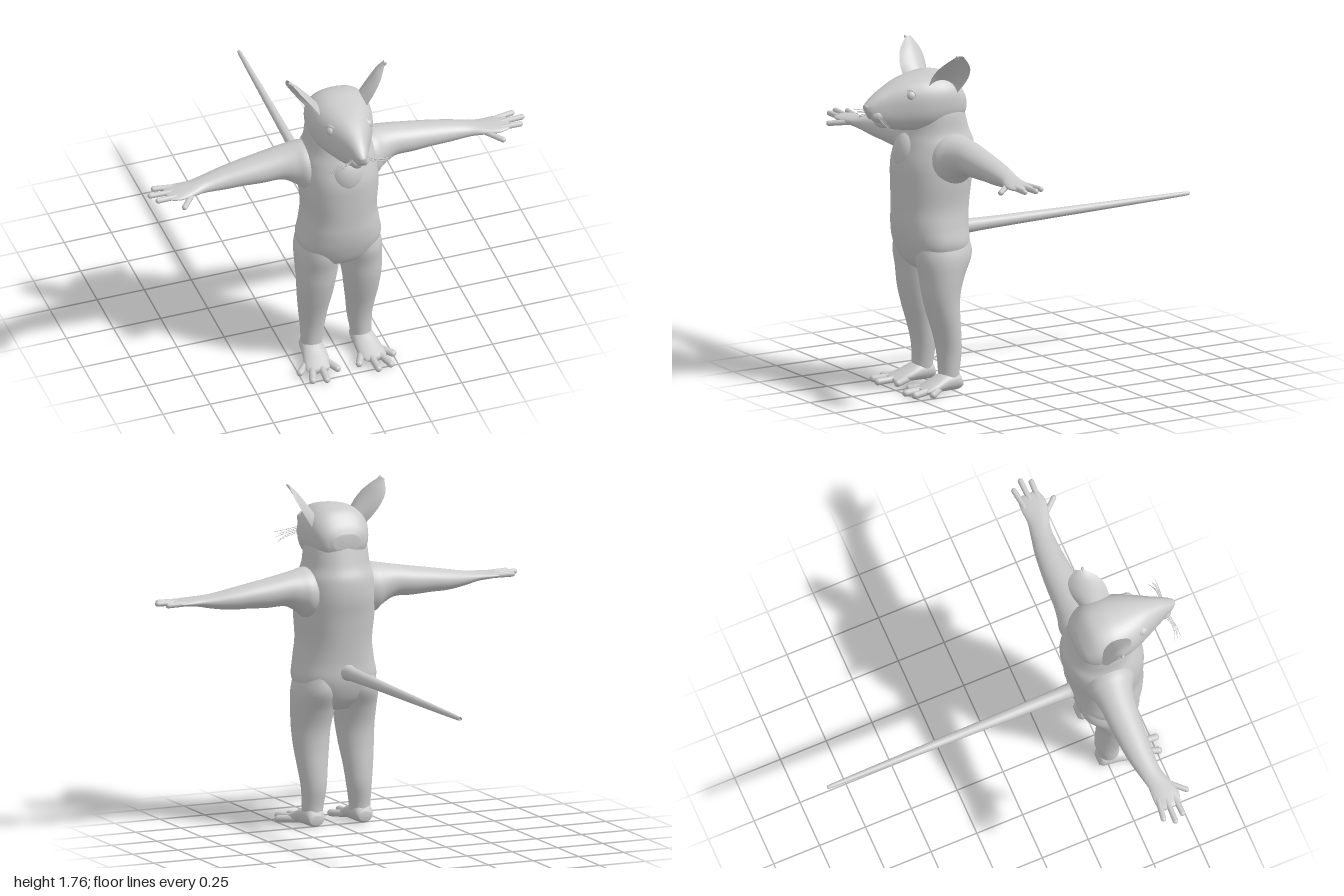
import * as THREE from 'three';
import { mergeVertices } from 'three/addons/utils/BufferGeometryUtils.js';

const mat = new THREE.MeshStandardMaterial({ color: 0xcccccc });
const thinMat = new THREE.MeshStandardMaterial({ color: 0xcccccc, side: THREE.DoubleSide });
const V = (x, y, z) => new THREE.Vector3(x, y, z);

// Smooth surface from a rule point(row, column)
function grid(rows, cols, point) {
  const pos = [], idx = [];
  for (let i = 0; i <= rows; i++)
    for (let j = 0; j <= cols; j++) pos.push(...point(i, j));
  for (let i = 0; i < rows; i++)
    for (let j = 0; j < cols; j++) {
      const a = i * (cols + 1) + j, b = a + cols + 1;
      idx.push(a, a + 1, b + 1, a, b + 1, b);
    }
  let g = new THREE.BufferGeometry();
  g.setAttribute('position', new THREE.Float32BufferAttribute(pos, 3));
  g.setIndex(idx);
  g = mergeVertices(g, 1e-5);
  g.computeVertexNormals();
  return g;
}

// Rounded body along an axis (0 x, 1 y, 2 z); each ring is
// [position, min and max on the next axis, min and max on the one after]
function loft(axis, rings, power = 1, cols = 36) {
  const A = new THREE.CatmullRomCurve3(rings.map(r => V(r[0], r[1], r[2])), false, 'catmullrom');
  const B = new THREE.CatmullRomCurve3(rings.map(r => V(r[0], r[3], r[4])), false, 'catmullrom');
  const steps = (rings.length - 1) * 5;
  const curve = c => Math.sign(c) * Math.abs(c) ** power;
  return grid(steps + 2, cols, (i, j) => {
    const k = Math.min(Math.max(i - 1, 0), steps) / steps;
    const a = A.getPoint(k), b = B.getPoint(k);
    const size = i === 0 || i === steps + 2 ? 0 : 0.5; // closed ends
    const t = (j % cols) / cols * Math.PI * 2;
    const p = [0, 0, 0];
    p[axis] = a.x;
    p[(axis + 1) % 3] = (a.y + a.z) / 2 + (a.z - a.y) * size * curve(Math.cos(t));
    p[(axis + 2) % 3] = (b.y + b.z) / 2 + (b.z - b.y) * size * curve(Math.sin(t));
    return p;
  });
}

// Round-ended digit between two points
function digit(from, to, r) {
  const a = V(...from), b = V(...to), d = b.clone().sub(a);
  const g = new THREE.CapsuleGeometry(r, d.length() - r, 6, 12);
  g.applyQuaternion(new THREE.Quaternion().setFromUnitVectors(V(0, 1, 0), d.normalize()));
  const m = a.add(b).multiplyScalar(0.5).addScaledVector(d, -r / 2);
  return g.translate(m.x, m.y, m.z);
}

function ellipsoid(c, r) {
  return new THREE.SphereGeometry(1, 28, 20).scale(...r).translate(...c);
}

function mirrored(geo) {
  const g = geo.clone().scale(-1, 1, 1), ix = g.index;
  for (let i = 0; i < ix.count; i += 3) {
    const t = ix.getX(i);
    ix.setX(i, ix.getX(i + 1));
    ix.setX(i + 1, t);
  }
  return g;
}

export function createModel() {
  const model = new THREE.Group();
  model.name = 'mouse';
  const add = (name, geo, m = mat) => {
    const mesh = new THREE.Mesh(geo, m);
    mesh.name = name;
    model.add(mesh);
  };
  const pair = (name, geo, m = mat) => {
    add('left' + name, geo, m);
    add('right' + name, mirrored(geo), m);
  };

  // Torso and neck
  add('torso', loft(1, [
    [0.60, 0.45, 0.60, -0.08, 0.08], [0.66, 0.40, 0.68, -0.16, 0.16],
    [0.75, 0.37, 0.72, -0.215, 0.215], [0.85, 0.368, 0.74, -0.203, 0.203],
    [0.95, 0.36, 0.742, -0.19, 0.19], [1.08, 0.345, 0.745, -0.20, 0.20],
    [1.18, 0.33, 0.742, -0.20, 0.20], [1.27, 0.335, 0.715, -0.19, 0.19],
    [1.34, 0.36, 0.69, -0.168, 0.168], [1.45, 0.39, 0.66, -0.155, 0.155],
    [1.54, 0.42, 0.60, -0.11, 0.11]], 0.9, 48));
  add('chestFur', ellipsoid([0, 1.21, 0.66], [0.1, 0.125, 0.088]));

  // Head, jaw and nose
  add('head', loft(2, [
    [0.385, -0.07, 0.07, 1.42, 1.50], [0.41, -0.12, 0.12, 1.38, 1.55],
    [0.47, -0.155, 0.155, 1.35, 1.615], [0.55, -0.165, 0.165, 1.34, 1.635],
    [0.63, -0.155, 0.155, 1.335, 1.628], [0.70, -0.13, 0.13, 1.345, 1.615],
    [0.76, -0.10, 0.10, 1.352, 1.598], [0.82, -0.07, 0.07, 1.37, 1.572],
    [0.87, -0.048, 0.048, 1.40, 1.545], [0.91, -0.03, 0.03, 1.435, 1.515],
    [0.932, -0.012, 0.012, 1.465, 1.495]], 0.85, 48));
  add('jaw', ellipsoid([0, 1.405, 0.81], [0.04, 0.04, 0.065]));
  add('nose', ellipsoid([0, 1.485, 0.918], [0.022, 0.018, 0.018]));
  pair('Cheek', ellipsoid([0.022, 1.44, 0.865], [0.03, 0.032, 0.04]));

  // Eyes with lids
  const gaze = new THREE.Quaternion().setFromUnitVectors(V(0, 0, 1), V(0.8, 0.15, 0.6).normalize());
  pair('Eye', ellipsoid([0.093, 1.538, 0.716], [0.028, 0.028, 0.028]));
  pair('Eyelid', new THREE.TorusGeometry(0.028, 0.007, 10, 28)
    .applyQuaternion(gaze).translate(0.099, 1.538, 0.722));

  // Cupped ears, opening outwards and forwards
  const width = new THREE.CatmullRomCurve3([V(0.075, 0, 0), V(0.09, 0, 0), V(0.092, 0, 0),
    V(0.072, 0, 0), V(0.018, 0, 0)], false, 'catmullrom');
  const across = V(-0.3, 0.05, 0.95).normalize(), open = V(0.78, -0.5, 0.3).normalize();
  pair('Ear', grid(20, 20, (i, j) => {
    const t = i / 20, s = j / 10 - 1, w = width.getPoint(t).x;
    const depth = 0.05 * (1 - t * 0.6) * (s * s - 0.5) * Math.min(1, w / 0.07);
    const p = V(0.105 + 0.15 * t, 1.55 + 0.2 * t, 0.545 - 0.02 * t);
    p.addScaledVector(across, w * s).addScaledVector(open, depth);
    return p.toArray();
  }), thinMat);
  pair('EarTuft', digit([0.24, 1.73, 0.535], [0.26, 1.755, 0.545], 0.007));

  // Whiskers
  for (let i = 0; i < 5; i++) {
    const c = new THREE.QuadraticBezierCurve3(V(0.035, 1.43 + i * 0.007, 0.865 + i * 0.005),
      V(0.1, 1.418 + i * 0.007, 0.90), V(0.165 - (i % 2) * 0.02, 1.39 + i * 0.012, 0.865 + i * 0.008));
    pair('Whisker' + (i + 1), new THREE.TubeGeometry(c, 8, 0.0015, 5));
  }

  // Arms with palms
  pair('Arm', loft(0, [
    [0.10, 1.06, 1.33, 0.40, 0.64], [0.18, 1.07, 1.33, 0.385, 0.64],
    [0.23, 1.11, 1.322, 0.395, 0.61], [0.30, 1.145, 1.31, 0.405, 0.585],
    [0.40, 1.145, 1.292, 0.41, 0.575], [0.50, 1.15, 1.275, 0.418, 0.567],
    [0.60, 1.152, 1.257, 0.43, 0.56], [0.70, 1.165, 1.238, 0.45, 0.56],
    [0.77, 1.178, 1.228, 0.463, 0.58], [0.84, 1.185, 1.222, 0.46, 0.595],
    [0.89, 1.19, 1.217, 0.465, 0.585], [0.91, 1.196, 1.212, 0.48, 0.57]]));
  [[[0.85, 1.205, 0.482], [0.965, 1.207, 0.465]],
    [[0.85, 1.206, 0.522], [1.0, 1.209, 0.517]],
    [[0.85, 1.204, 0.562], [0.975, 1.206, 0.567]],
    [[0.775, 1.198, 0.56], [0.855, 1.185, 0.648]]]
    .forEach(([a, b], i) => pair(i < 3 ? 'Finger' + (i + 1) : 'Thumb', digit(a, b, 0.014)));

  // Legs
  pair('Leg', loft(1, [
    [0.02, 0.46, 0.58, 0.085, 0.18], [0.10, 0.463, 0.572, 0.075, 0.185],
    [0.20, 0.45, 0.578, 0.06, 0.19], [0.30, 0.455, 0.60, 0.048, 0.203],
    [0.40, 0.463, 0.63, 0.033, 0.215], [0.50, 0.46, 0.655, 0.02, 0.222],
    [0.60, 0.43, 0.67, 0.005, 0.226], [0.70, 0.385, 0.69, 0, 0.222],
    [0.80, 0.40, 0.68, 0.03, 0.19]]));

  // Feet with spread toes
  pair('Foot', loft(2, [
    [0.455, 0.10, 0.17, 0.015, 0.06], [0.48, 0.082, 0.185, 0.004, 0.10],
    [0.55, 0.075, 0.195, 0.004, 0.10], [0.62, 0.075, 0.207, 0.004, 0.07],
    [0.67, 0.085, 0.212, 0.004, 0.048], [0.70, 0.10, 0.20, 0.01, 0.035]]));
  [[0.10, 0.62, 0.05, 0.72], [0.13, 0.64, 0.138, 0.79],
    [0.17, 0.64, 0.213, 0.775], [0.175, 0.60, 0.258, 0.69]]
    .forEach(([x, z, u, w], i) => pair('Toe' + (i + 1), digit([x, 0.026, z], [u, 0.018, w], 0.018)));

  // Tail
  add('tail', loft(2, [
    [-0.932, -0.004, 0.004, 0.801, 0.809], [-0.925, -0.011, 0.011, 0.794, 0.816],
    [-0.5, -0.019, 0.019, 0.784, 0.822], [0, -0.028, 0.028, 0.774, 0.828],
    [0.33, -0.036, 0.036, 0.764, 0.836], [0.38, -0.05, 0.05, 0.75, 0.85],
    [0.42, -0.06, 0.06, 0.74, 0.86]], 1, 20));

  return model;
}
